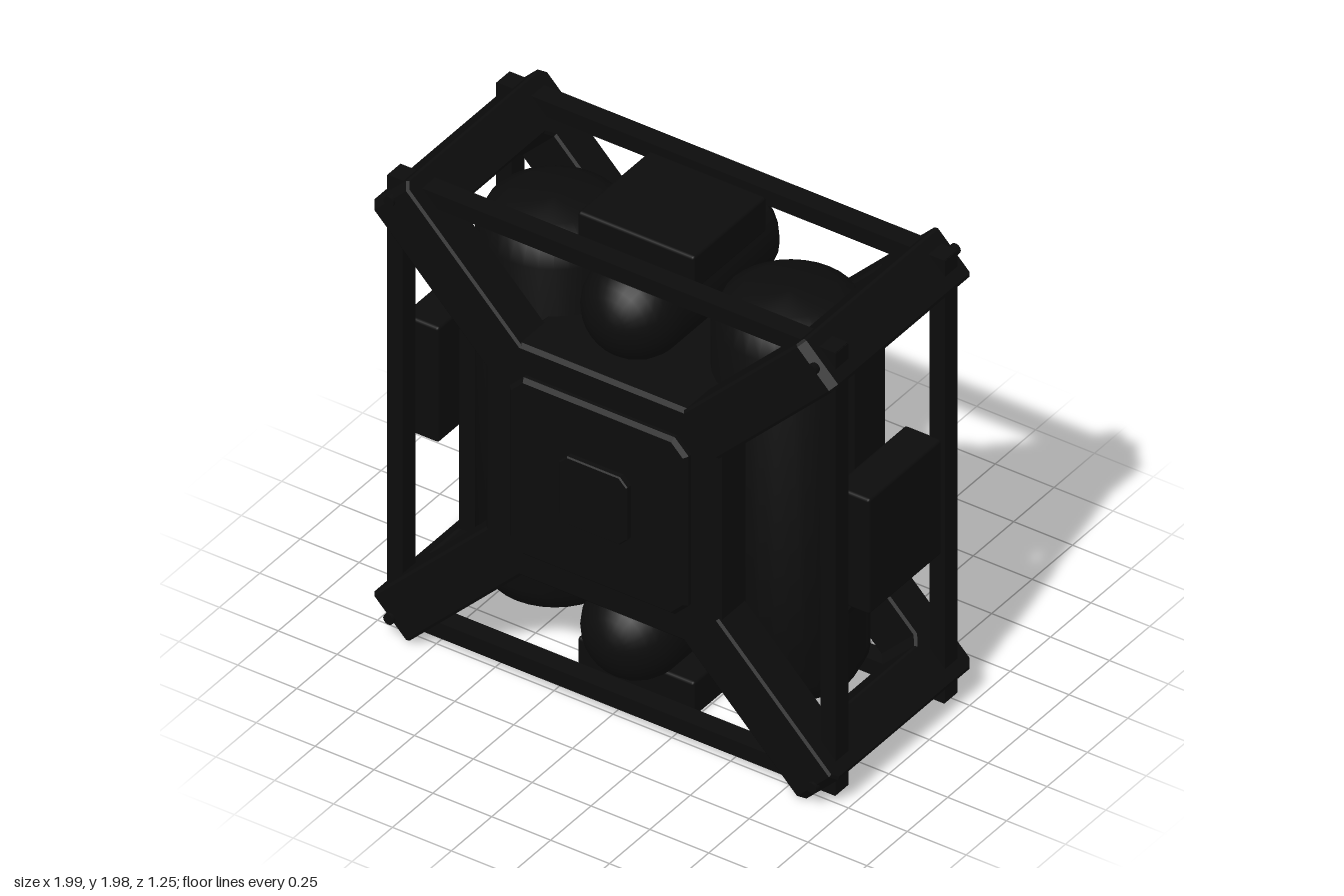
import * as THREE from 'three';
import { RoundedBoxGeometry } from 'three/addons/geometries/RoundedBoxGeometry.js';
import { toCreasedNormals } from 'three/addons/utils/BufferGeometryUtils.js';

const black = new THREE.MeshStandardMaterial({ color: 0x0c0c0c });
black.name = 'matte black';

const points = list => list.map(([x, y]) => new THREE.Vector2(x, y));

export function createModel() {
  const model = new THREE.Group();
  model.name = 'framedCore';
  // everything is laid out around the core's centre
  const core = new THREE.Group();
  core.name = 'assembly';
  core.position.y = 1;
  model.add(core);

  const add = (name, geometry, x = 0, y = 0, z = 0) => {
    const mesh = new THREE.Mesh(geometry, black);
    mesh.name = name;
    mesh.position.set(x, y, z);
    core.add(mesh);
    return mesh;
  };
  const box = (name, w, h, d, x, y, z, r = 0.012) =>
    add(name, new RoundedBoxGeometry(w, h, d, 2, r), x, y, z);
  // lathe profile [radius, height], creased
  const lathe = (profile, segments = 32) =>
    toCreasedNormals(new THREE.LatheGeometry(points(profile), segments), 0.6);
  // square plate with cut corners and a bevelled rim, front at z1
  const plate = (name, half, cut, z0, z1, bevel) => {
    const h = half - bevel, c = h - cut;
    const shape = new THREE.Shape(points([
      [-c, -h], [c, -h], [h, -c], [h, c], [c, h], [-c, h], [-h, c], [-h, -c]]));
    return add(name, new THREE.ExtrudeGeometry(shape, {
      depth: z1 - z0 - 2 * bevel, bevelSize: bevel, bevelThickness: bevel, bevelSegments: 1,
    }), 0, 0, z0 + bevel);
  };

  // central block and stepped front plates
  plate('centralBlock', 0.5, 0.13, -0.3, 0.57, 0.015);
  plate('frontPlate', 0.38, 0.05, 0.55, 0.6, 0.015);
  plate('frontButton', 0.145, 0.03, 0.58, 0.625, 0.005);

  // diagonal corner brackets: front arm, back arm and end plate in one U section
  const bracket = new THREE.Shape(points([
    [0.25, -0.3], [1.27, -0.3], [1.298, -0.272], [1.298, 0.542], [1.27, 0.57], [0.25, 0.57],
    [0.25, 0.405], [1.08, 0.405], [1.11, 0.375], [1.11, -0.12], [1.08, -0.15], [0.25, -0.15]]));
  for (let i = 0; i < 4; i++) {
    const angle = Math.PI / 4 + i * Math.PI / 2;
    const geometry = new THREE.ExtrudeGeometry(bracket, {
      depth: 0.19, bevelSize: 0.008, bevelOffset: -0.008, bevelThickness: 0.01, bevelSegments: 1,
    });
    geometry.translate(0, 0, -0.095);
    geometry.rotateX(Math.PI / 2);
    geometry.rotateZ(angle);
    add('cornerBracket', geometry);
    // bolt heads at the arm ends
    for (const z of [-0.3, 0.57]) {
      const bolt = new THREE.CylinderGeometry(0.022, 0.022, 0.024, 12);
      bolt.rotateX(Math.PI / 2);
      add('cornerBolt', bolt, Math.cos(angle) * 1.27, Math.sin(angle) * 1.27, z);
    }
  }

  // outer rods and bumper pads on the four edges
  for (const s of [-1, 1]) {
    for (const z of [-0.205, 0.47]) {
      add('sideRod', new THREE.BoxGeometry(0.065, 1.9, 0.08), s * 0.92, 0, z);
      add('crossRod', new THREE.BoxGeometry(1.9, 0.065, 0.08), 0, s * 0.92, z);
    }
    box('sidePad', 0.155, 0.495, 0.45, s * 0.915, 0, 0.135);
    box('endPad', 0.495, 0.15, 0.45, 0, s * 0.915, 0.135);
  }

  // large upright tanks, each with an outer rail; the pair is turned half round
  const tank = [[0, -0.82], [0.17, -0.82], [0.24, -0.78], [0.28, -0.7],
    [0.28, 0.7], [0.24, 0.78], [0.17, 0.82], [0, 0.82]];
  const rail = new THREE.Shape(points([
    [0.6, -0.66], [0.77, -0.66], [0.77, -0.45], [0.84, -0.33], [0.84, 0.69], [0.6, 0.69]]));
  for (const s of [-1, 1]) {
    add('tank', lathe(tank), s * 0.5, 0, 0.13);
    const geometry = new THREE.ExtrudeGeometry(rail, { depth: 0.19, bevelEnabled: false });
    geometry.rotateZ(s > 0 ? 0 : Math.PI);
    add('tankRail', geometry, 0, 0, 0.04);
  }

  // upper and lower thrusters: domed in front, open nozzle behind
  const thruster = [[0, -0.16], [0.09, -0.16], [0.13, -0.28], [0.17, -0.28], [0.2, -0.24], [0.2, 0.35]];
  for (let i = 1; i <= 8; i++) {
    const a = i / 8 * Math.PI / 2;
    thruster.push([i === 8 ? 0 : 0.2 * Math.cos(a), 0.35 + 0.2 * Math.sin(a)]);
  }
  for (const s of [-1, 1]) {
    const geometry = lathe(thruster, 24);
    geometry.rotateX(Math.PI / 2);
    add('thruster', geometry, 0, s * 0.69, 0);
  }

  // rear hub: flange, stem, shallow dish and rounded knob, turned towards the back
  const rear = (name, profile) => {
    const geometry = lathe(profile);
    geometry.rotateX(-Math.PI / 2);
    return add(name, geometry);
  };
  rear('rearFlange', [[0, 0.28], [0.47, 0.28], [0.47, 0.32], [0.39, 0.37], [0, 0.37]]);
  rear('rearStem', [[0.18, 0.36], [0.18, 0.39], [0.165, 0.39], [0.165, 0.53], [0, 0.53]]);
  rear('rearDish', [[0.15, 0.45], [0.375, 0.437], [0.375, 0.442], [0.18, 0.525], [0.15, 0.53]]);
  rear('rearKnob', [[0.162, 0.5], [0.162, 0.57], [0.15, 0.6], [0.12, 0.62], [0.07, 0.627], [0, 0.628]]);

  return model;
}
